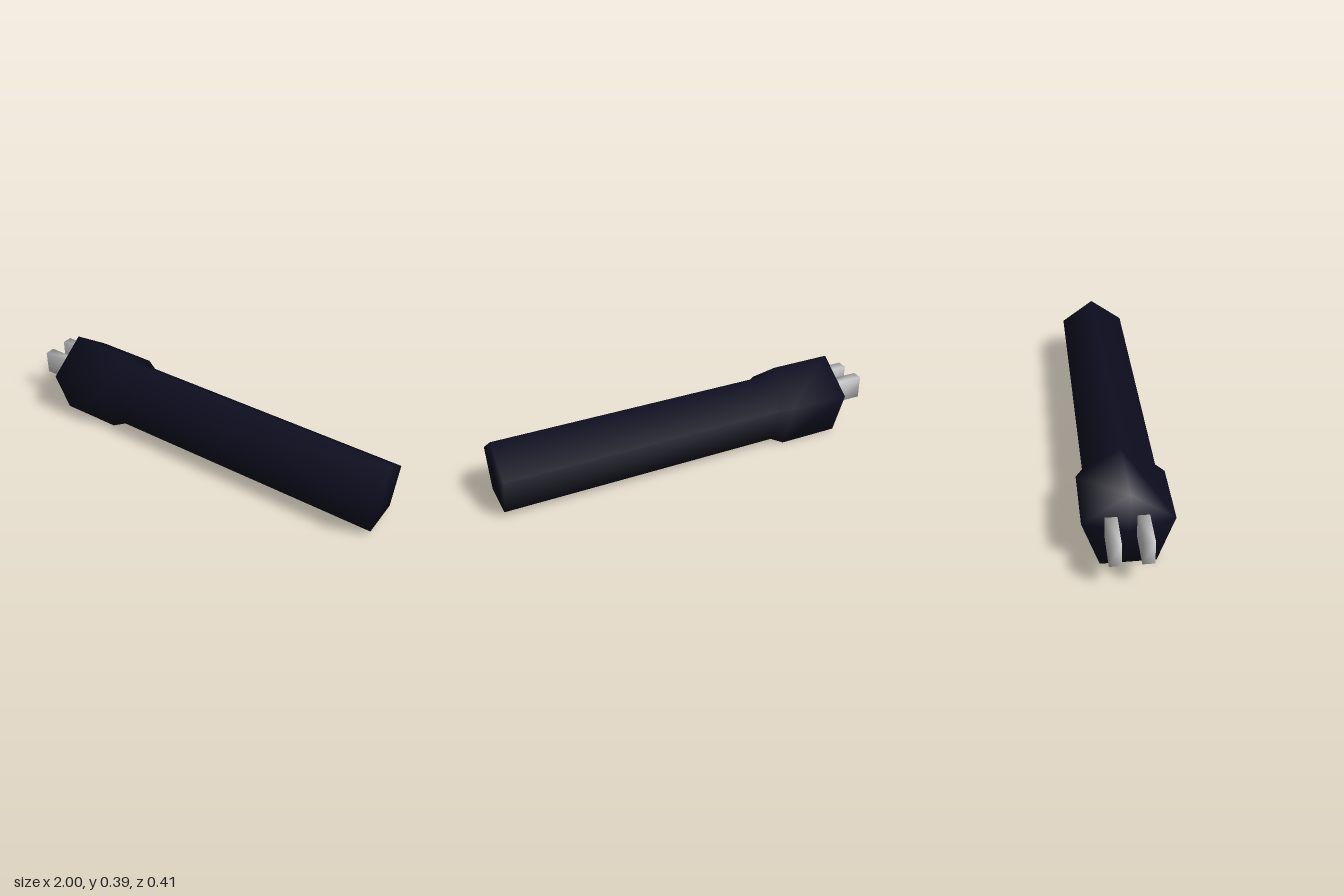
import * as THREE from 'three';
import { mergeVertices } from 'three/addons/utils/BufferGeometryUtils.js';

const AXIS_Y = 0.175;

// Box whose corners share normals, for soft shading
function softBox(w, h, d) {
  const box = new THREE.BoxGeometry(w, h, d);
  box.deleteAttribute('normal');
  box.deleteAttribute('uv');
  const merged = mergeVertices(box);
  merged.computeVertexNormals();
  return merged;
}

export function createModel() {
  const group = new THREE.Group();
  const dark = new THREE.MeshStandardMaterial({ color: 0x0e0d20 });
  const grey = new THREE.MeshStandardMaterial({ color: 0xcccccc });

  // Five-sided plug grip narrowing into the cable: [radius, x]
  const profile = [
    [0, -0.83], [0.2155, -0.83], [0.2155, -0.51], [0.18, -0.445], [0.18, 1], [0, 1],
  ].map(([r, x]) => new THREE.Vector2(r, x));
  const bodyGeometry = new THREE.LatheGeometry(profile, 5);
  // Lay the axis along x with one corner pointing up
  bodyGeometry.applyMatrix4(new THREE.Matrix4().makeBasis(
    new THREE.Vector3(0, 0, 1), new THREE.Vector3(1, 0, 0), new THREE.Vector3(0, 1, 0)));
  const body = new THREE.Mesh(bodyGeometry, dark);
  body.name = 'plugBodyAndCable';
  body.position.y = AXIS_Y;
  group.add(body);

  // Two flat prongs
  for (const [name, z] of [['frontProng', 0.063], ['backProng', -0.077]]) {
    const prong = new THREE.Mesh(softBox(0.175, 0.12, 0.054), grey);
    prong.name = name;
    prong.position.set(-0.9125, 0.21, z);
    group.add(prong);
  }
  return group;
}
